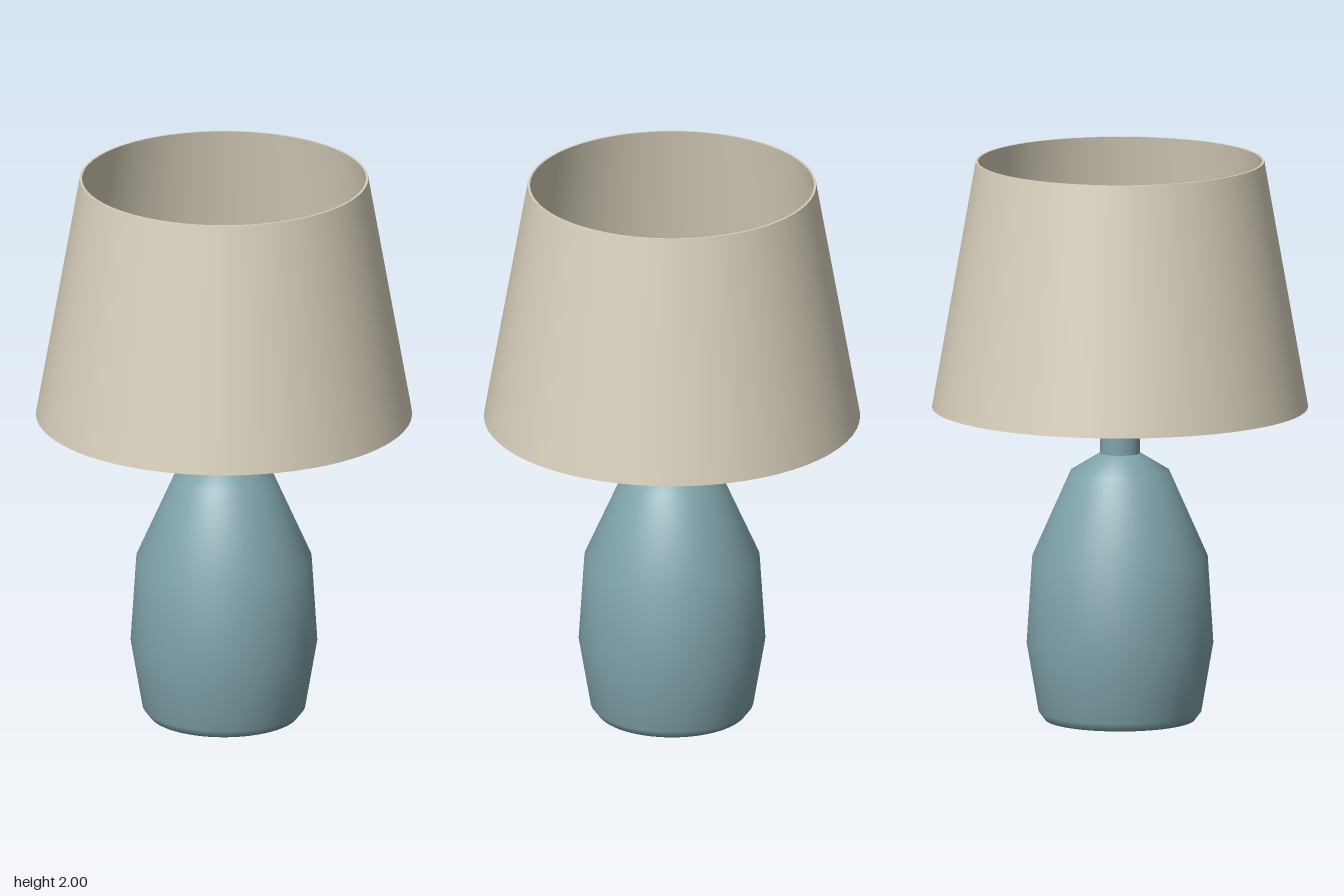
import * as THREE from 'three';

export function createModel() {
  const lamp = new THREE.Group();
  lamp.name = 'tableLamp';

  const ceramic = new THREE.MeshStandardMaterial({ color: 0x7fa3aa });
  ceramic.name = 'blueGreyCeramic';
  const linen = new THREE.MeshStandardMaterial({ color: 0xd8d0bc });
  linen.name = 'creamLinen';

  // Turns a profile of [radius, height] points around the y axis
  const turn = (name, profile, material, parent, segments = 64) => {
    const points = profile.map(([r, y]) => new THREE.Vector2(r, y));
    const mesh = new THREE.Mesh(new THREE.LatheGeometry(points, segments), material);
    mesh.name = name;
    parent.add(mesh);
    return mesh;
  };

  // Ceramic base with its flat foot and sloping shoulder
  turn('base', [
    [0, 0], [0.265, 0], [0.288, 0.03], [0.33, 0.275],
    [0.31, 0.585], [0.175, 0.89], [0.07, 0.955],
  ], ceramic, lamp);

  // Neck collar
  const neck = new THREE.Mesh(new THREE.CylinderGeometry(0.07, 0.07, 0.08, 48), ceramic);
  neck.name = 'neck';
  neck.position.y = 0.98;
  lamp.add(neck);

  // Stem with a rounded tip, hidden inside the shade
  turn('stem', [
    [0.025, 1.01], [0.025, 1.56], [0.018, 1.573], [0, 1.58],
  ], linen, lamp, 24);

  // Thin-walled conical shade, open at both ends
  const shade = new THREE.Group();
  shade.name = 'shade';
  lamp.add(shade);
  const bottom = 1.12, top = 2;
  turn('shadeOuter', [[0.665, bottom], [0.51, top]], linen, shade);
  turn('shadeInner', [[0.502, top], [0.657, bottom]], linen, shade);
  turn('shadeTopRim', [[0.51, top], [0.502, top]], linen, shade);
  turn('shadeBottomRim', [[0.657, bottom], [0.665, bottom]], linen, shade);

  return lamp;
}
